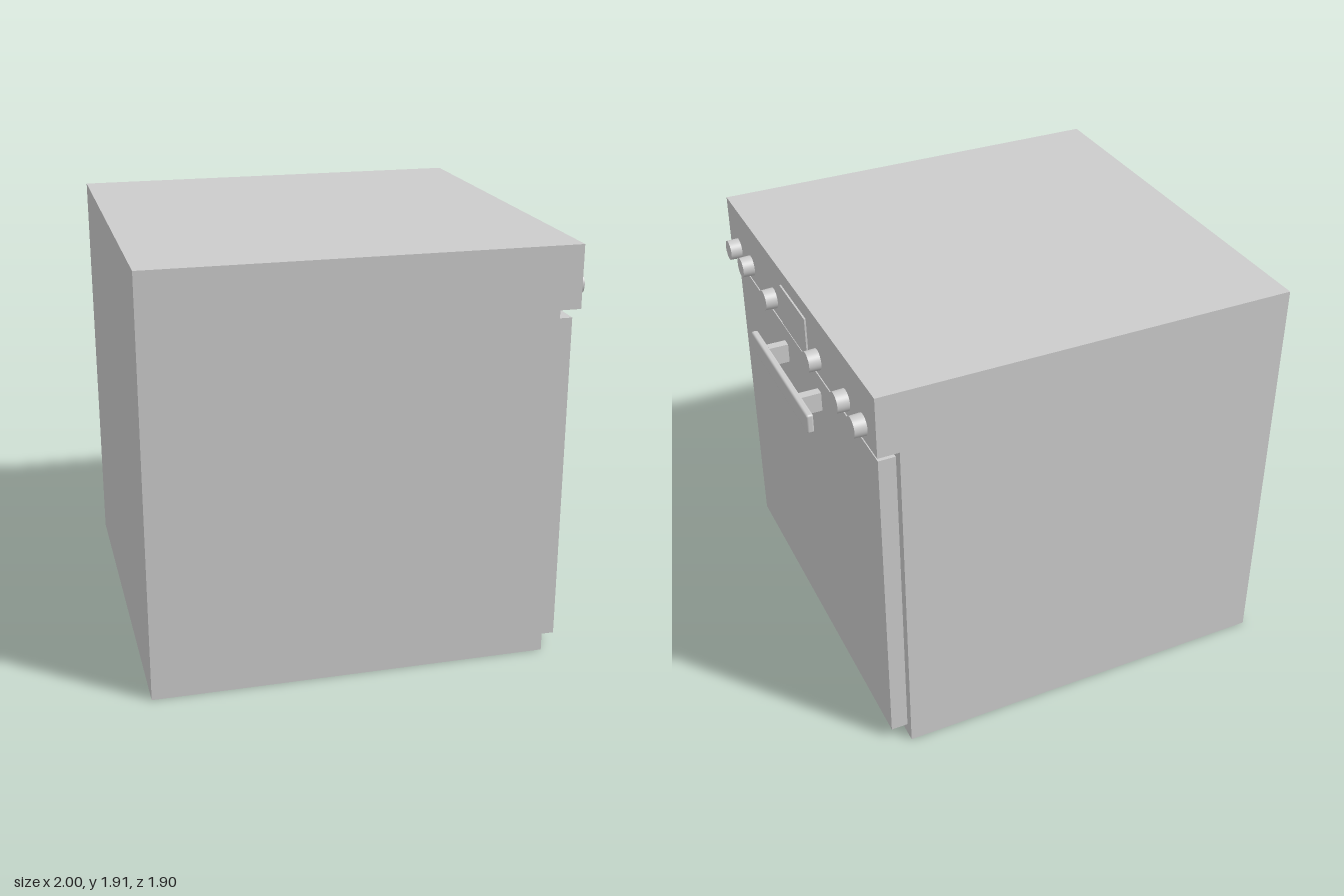
import * as THREE from 'three';
import { RoundedBoxGeometry } from 'three/addons/geometries/RoundedBoxGeometry.js';

const material = new THREE.MeshStandardMaterial({ color: 0xcccccc });

export function createModel() {
  const model = new THREE.Group();
  model.name = 'oven';

  const add = (name, geometry, x = 0, y = 0, z = 0) => {
    const mesh = new THREE.Mesh(geometry, material);
    mesh.name = name;
    mesh.position.set(x, y, z);
    model.add(mesh);
    return mesh;
  };

  // Box given by its limits in x and y, its depth and its centre in z
  const box = (name, x0, x1, y0, y1, depth, z = 0) =>
    add(name, new THREE.BoxGeometry(x1 - x0, y1 - y0, depth), (x0 + x1) / 2, (y0 + y1) / 2, z);

  // Cabinet with the control panel overhanging the door
  const profile = new THREE.Shape([
    [-1, 0], [0.805, 0], [0.805, 1.625], [0.9, 1.625], [0.9, 1.907], [-1, 1.907],
  ].map(([x, y]) => new THREE.Vector2(x, y)));
  add('cabinet', new THREE.ExtrudeGeometry(profile, { depth: 1.9, bevelEnabled: false }), 0, 0, -0.95);

  box('door', 0.805, 0.882, 0.055, 1.576, 1.81);
  box('display', 0.895, 0.908, 1.638, 1.832, 0.325);

  // Handle: softly rounded bar on two posts
  add('handleBar', new RoundedBoxGeometry(0.032, 0.094, 0.764, 3, 0.01), 0.984, 1.452, 0);
  for (const side of [-1, 1]) {
    box('handlePost', 0.88, 0.972, 1.406, 1.498, 0.042, side * 0.219);
  }

  // Control knobs, slightly tapered, mirrored about the display
  const knob = new THREE.CylinderGeometry(0.046, 0.048, 0.055, 40);
  knob.rotateZ(-Math.PI / 2);
  for (const z of [0.285, 0.62, 0.81]) {
    for (const side of [-1, 1]) add('knob', knob, 0.926, 1.702, side * z);
  }

  return model;
}
